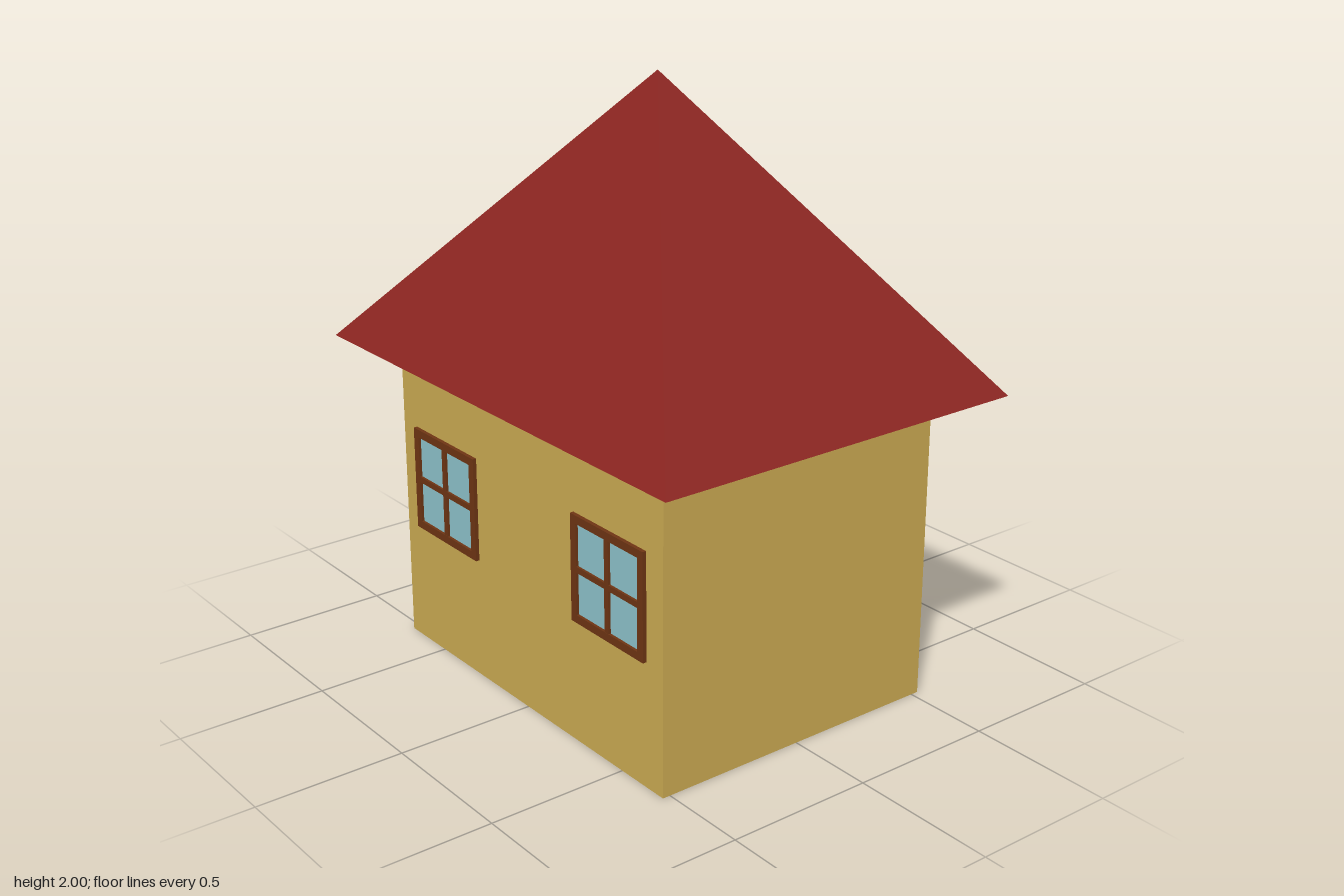
import * as THREE from 'three';

const material = (color) => new THREE.MeshStandardMaterial({ color, flatShading: true });
const wallMat = material(0xcfae54);
const roofMat = material(0x8b2520);
const frameMat = material(0x703614);
const glassMat = material(0x90c6ce);
const doorMat = material(0xca6a59);

const W = 1.4, H = 1.053, D = 1.053; // house body
const DOOR_W = 0.351, DOOR_H = 0.702, RECESS = 0.07;

function add(parent, name, geometry, mat, x = 0, y = 0, z = 0) {
  const mesh = new THREE.Mesh(geometry, mat);
  mesh.name = name;
  mesh.position.set(x, y, z);
  parent.add(mesh);
  return mesh;
}

const box = (w, h, d) => new THREE.BoxGeometry(w, h, d);

function rectangle(Type, w, h) {
  const s = new Type();
  s.moveTo(-w / 2, -h / 2);
  s.lineTo(w / 2, -h / 2);
  s.lineTo(w / 2, h / 2);
  s.lineTo(-w / 2, h / 2);
  s.closePath();
  return s;
}

// Window facing +z with its back on z = 0
function makeWindow() {
  const g = new THREE.Group();
  g.name = 'window';
  const outer = 0.356, inner = 0.302, depth = 0.013, bar = 0.02;
  const shape = rectangle(THREE.Shape, outer, outer);
  shape.holes.push(rectangle(THREE.Path, inner, inner));
  add(g, 'windowFrame', new THREE.ExtrudeGeometry(shape, { depth, bevelEnabled: false }), frameMat);
  add(g, 'windowGlass', box(inner, inner, 0.004), glassMat, 0, 0, 0.002);
  add(g, 'verticalBar', box(bar, inner, depth - 0.001), frameMat, 0, 0, depth / 2);
  add(g, 'horizontalBar', box(inner, bar, depth - 0.002), frameMat, 0, 0, depth / 2);
  return g;
}

export function createModel() {
  const house = new THREE.Group();
  house.name = 'house';

  // Body, with a separate back layer that holds the door recess
  add(house, 'walls', box(W, H, D - RECESS), wallMat, 0, H / 2, RECESS / 2);
  const back = new THREE.Shape();
  [
    [-W / 2, 0], [-DOOR_W / 2, 0], [-DOOR_W / 2, DOOR_H], [DOOR_W / 2, DOOR_H],
    [DOOR_W / 2, 0], [W / 2, 0], [W / 2, H], [-W / 2, H],
  ].forEach(([x, y], i) => (i ? back.lineTo(x, y) : back.moveTo(x, y)));
  add(house, 'backWall', new THREE.ExtrudeGeometry(back, { depth: RECESS, bevelEnabled: false }),
    wallMat, 0, 0, -D / 2);

  // Door set back in its recess, with a thin sill
  add(house, 'door', box(DOOR_W, DOOR_H, 0.006), doorMat, 0, DOOR_H / 2, -D / 2 + RECESS - 0.001);
  add(house, 'doorSill', box(DOOR_W, 0.004, RECESS), wallMat, 0, 0.002, -D / 2 + RECESS / 2);

  // Two windows on the front and two on the back
  for (const side of [1, -1]) {
    for (const x of [-0.443, 0.443]) {
      const w = makeWindow();
      w.position.set(x, 0.597, side * D / 2);
      if (side < 0) w.rotation.y = Math.PI;
      house.add(w);
    }
  }

  // Pyramid roof with overhanging eaves
  const roofH = 2 - H;
  const roof = new THREE.ConeGeometry(0.887 * Math.SQRT2, roofH, 4);
  roof.rotateY(Math.PI / 4);
  roof.scale(1, 1, 0.75);
  add(house, 'roof', roof, roofMat, 0, H + roofH / 2, 0);

  return house;
}
